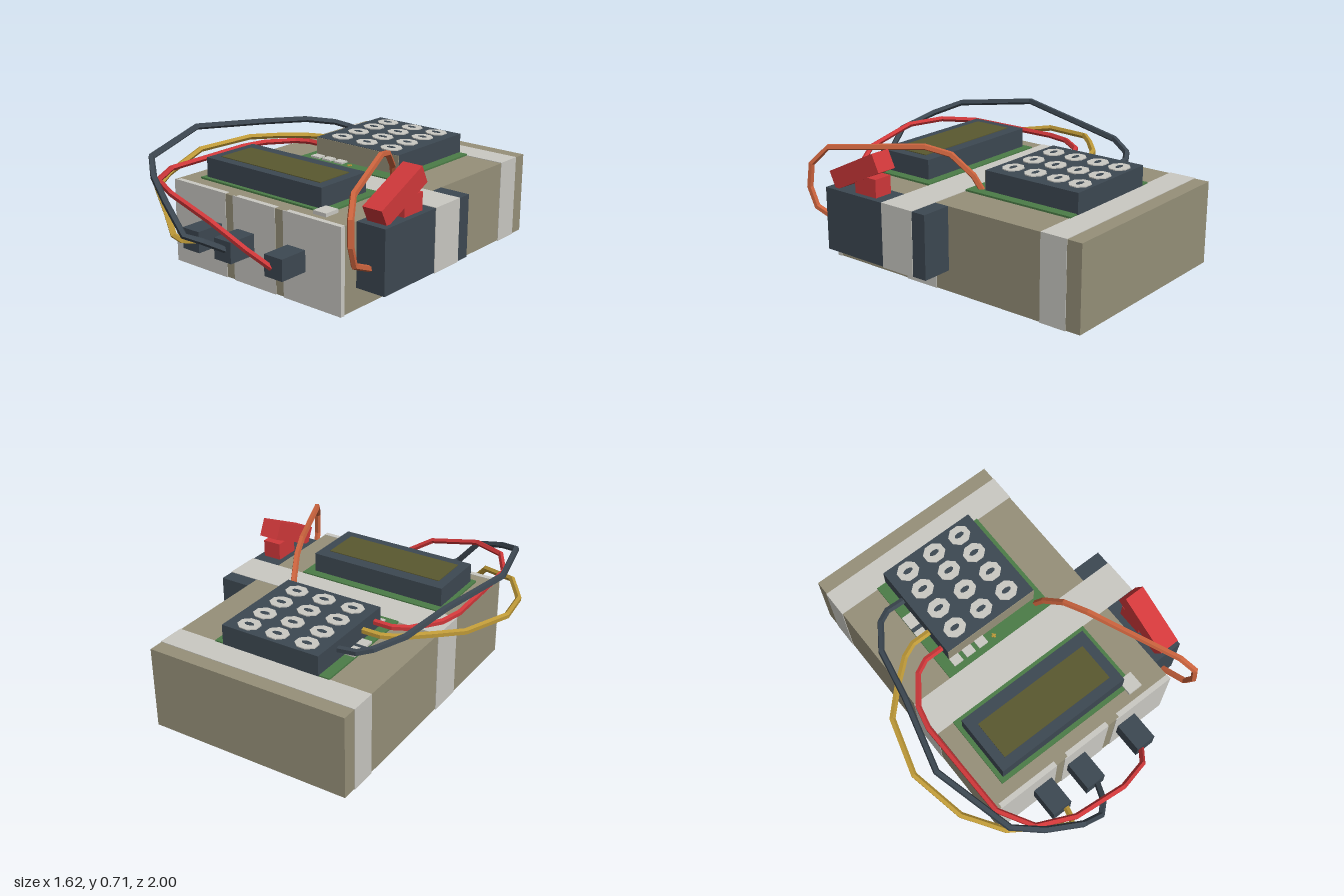
import * as THREE from 'three';

const mat = (name, color) => {
  const m = new THREE.MeshStandardMaterial({ color });
  m.name = name;
  return m;
};

// Polyline whose parameter runs evenly from corner to corner
class Polyline extends THREE.Curve {
  constructor(points) {
    super();
    this.points = points.map((p) => new THREE.Vector3(...p));
  }
  getPoint(t, target = new THREE.Vector3()) {
    const n = this.points.length - 1;
    const i = Math.min(Math.floor(t * n + 1e-9), n - 1);
    return target.lerpVectors(this.points[i], this.points[i + 1], t * n - i);
  }
  getUtoTmapping(u) {
    return u;
  }
}

export function createModel() {
  const tan = mat('cardboard tan', 0x969079);
  const grey = mat('tape grey', 0xcac9c3);
  const dark = mat('dark slate', 0x3d4852);
  const green = mat('board green', 0x4c7d47);
  const olive = mat('screen olive', 0x5a5930);
  const red = mat('red', 0xd0383a);
  const orange = mat('orange', 0xcd643e);
  const yellow = mat('yellow', 0xbf9a38);

  const model = new THREE.Group();
  const add = (name, geometry, material) => {
    const mesh = new THREE.Mesh(geometry, material);
    mesh.name = name;
    model.add(mesh);
    return mesh;
  };
  // Box given by its limits on each axis
  const box = (name, material, x0, x1, y0, y1, z0, z1) => {
    const mesh = add(name, new THREE.BoxGeometry(x1 - x0, y1 - y0, z1 - z0), material);
    mesh.position.set((x0 + x1) / 2, (y0 + y1) / 2, (z0 + z1) / 2);
    return mesh;
  };

  // Main case with tape wrapped round it
  const L = -0.55, R = 0.63, T = 0.47, e = 0.003;
  box('case', tan, L, R, e, T, -1, 0.647);
  box('rearTape', grey, L - e, R + e, 0, T + e, -0.915, -0.76);
  box('middleTape', grey, L - e, R + e, 0, T + e, -0.09, 0.12);
  for (const [x0, x1] of [[L, -0.16], [-0.105, 0.195], [0.25, R]]) {
    box('frontTape', grey, x0, x1, 0, T + e, 0.645, 0.65);
    box('frontTapeFold', grey, x0 + 0.02, x1, T, T + e, 0.62, 0.65);
  }
  box('frontTapeSideFold', grey, R, R + e, 0, T, 0.622, 0.65);

  // Battery pack on the left side
  box('batteryPack', dark, R, 0.807, 0.12, T, -0.175, 0.53);
  box('batteryTape', grey, R, 0.81, 0.117, T + e, -0.09, 0.12);

  // Tilted connector and the block below it
  const connector = add('connector', new THREE.BoxGeometry(0.12, 0.105, 0.355), red);
  connector.position.set(0.72, 0.583, 0.343);
  connector.rotation.x = 0.45;
  box('connectorBase', red, 0.665, 0.775, T, 0.57, 0.19, 0.34);

  // Keypad on its circuit board
  box('keypadBoard', green, -0.31, 0.395, T, 0.48, -0.765, -0.09);
  box('keypad', dark, -0.25, 0.34, 0.475, 0.59, -0.77, -0.18);
  box('keypadFrontFace', tan, -0.25, 0.34, 0.48, 0.588, -0.182, -0.177);
  const key = new THREE.CylinderGeometry(0.066, 0.066, 0.007, 8);
  key.rotateY(Math.PI / 8);
  const keyMark = new THREE.CylinderGeometry(0.03, 0.03, 0.004, 8);
  for (const x of [-0.135, 0.045, 0.22]) {
    for (const z of [-0.695, -0.56, -0.415, -0.27]) {
      const cap = add('key', key, grey);
      cap.position.set(x, 0.592, z);
      cap.scale.z = 0.88;
      const mark = add('keyMark', keyMark, dark);
      mark.position.set(x, 0.595, z);
      mark.scale.z = 0.5;
    }
  }

  // Small parts on the keypad board
  for (const x of [-0.22, -0.135, -0.05]) {
    box('boardChip', grey, x - 0.03, x + 0.03, 0.478, 0.49, -0.178, -0.125);
  }
  box('rearHeader', grey, -0.31, -0.25, 0.478, 0.49, -0.53, -0.445);
  box('frontHeader', grey, -0.31, -0.25, 0.478, 0.49, -0.42, -0.36);
  box('headerPin', dark, -0.31, -0.25, 0.478, 0.488, -0.445, -0.42);
  box('solderMark', yellow, 0.015, 0.042, 0.478, 0.484, -0.143, -0.133);
  box('solderMark', yellow, 0.024, 0.034, 0.478, 0.484, -0.152, -0.124);

  // Display with a rounded screen
  box('displayBoard', green, -0.45, 0.45, T, 0.48, 0.12, 0.548);
  box('display', dark, -0.425, 0.397, 0.475, 0.59, 0.17, 0.523);
  box('displayScreen', olive, -0.37, 0.34, 0.588, 0.594, 0.24, 0.468);
  box('displayButton', grey, 0.395, 0.48, T, 0.49, 0.49, 0.585);

  // Front plugs
  for (const x of [-0.25, -0.015, 0.34]) {
    box('plug', dark, x - 0.06, x + 0.06, 0.18, 0.297, 0.645, 0.82);
  }

  // Faceted wires
  const wire = (name, material, radius, points) => {
    const tube = new THREE.TubeGeometry(new Polyline(points), points.length - 1, radius, 5);
    const faceted = tube.toNonIndexed();
    faceted.computeVertexNormals();
    add(name, faceted, material);
  };
  wire('darkWire', dark, 0.019, [
    [-0.23, 0.54, -0.59], [-0.36, 0.555, -0.59], [-0.43, 0.575, -0.55], [-0.53, 0.605, -0.4],
    [-0.59, 0.64, -0.1], [-0.705, 0.675, 0.33], [-0.58, 0.62, 0.78], [-0.44, 0.565, 0.89],
    [-0.25, 0.49, 0.98], [-0.12, 0.34, 0.982], [-0.05, 0.31, 0.92], [0, 0.245, 0.81],
  ]);
  wire('yellowWire', yellow, 0.018, [
    [-0.23, 0.535, -0.355], [-0.36, 0.535, -0.355], [-0.44, 0.535, -0.32], [-0.58, 0.535, -0.2],
    [-0.7, 0.53, -0.08], [-0.79, 0.505, 0.23], [-0.72, 0.445, 0.54], [-0.58, 0.44, 0.75],
    [-0.35, 0.385, 0.89], [-0.27, 0.29, 0.92], [-0.24, 0.26, 0.89], [-0.22, 0.24, 0.81],
  ]);
  wire('redWire', red, 0.017, [
    [-0.23, 0.53, -0.24], [-0.36, 0.53, -0.24], [-0.44, 0.53, -0.2], [-0.55, 0.53, -0.05],
    [-0.58, 0.53, 0.08], [-0.57, 0.53, 0.65], [-0.46, 0.53, 0.84], [-0.26, 0.52, 0.93],
    [0.05, 0.445, 0.95], [0.24, 0.33, 0.9], [0.32, 0.23, 0.81],
  ]);
  wire('orangeWire', orange, 0.018, [
    [0.33, 0.47, -0.15], [0.355, 0.55, -0.11], [0.405, 0.655, 0], [0.46, 0.685, 0.13],
    [0.69, 0.645, 0.63], [0.74, 0.55, 0.71], [0.75, 0.42, 0.72], [0.74, 0.31, 0.68],
    [0.71, 0.24, 0.52],
  ]);

  return model;
}
